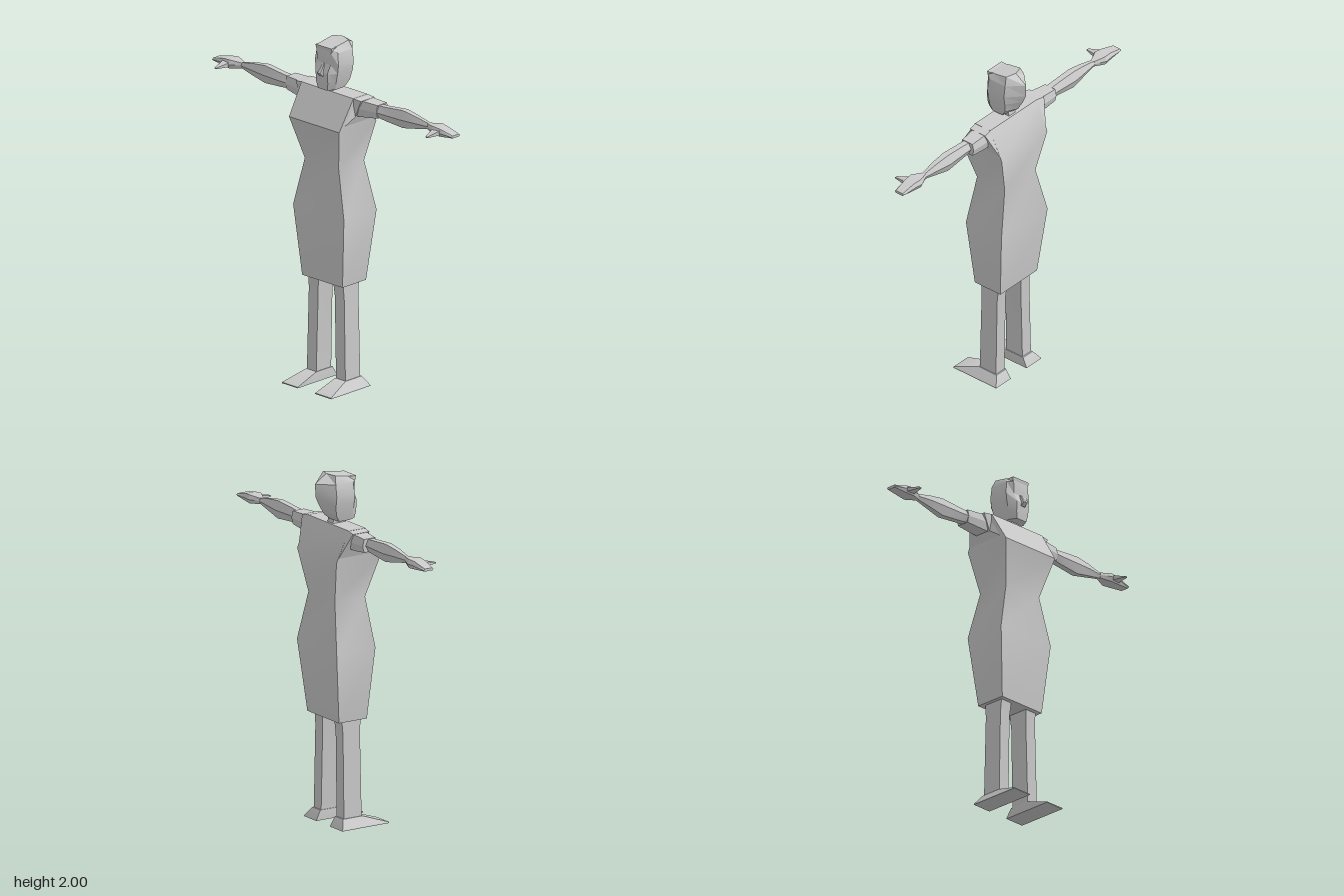
import * as THREE from 'three';
import { toCreasedNormals } from 'three/addons/utils/BufferGeometryUtils.js';

const material = new THREE.MeshStandardMaterial({ color: 0xcccccc });

// Closed skin over a list of equal-length rings of [x, y, z], always facing outwards.
function loft(name, rings, crease = 0.35) {
  const n = rings[0].length, tris = [];
  rings.slice(1).forEach((top, r) => {
    const low = rings[r];
    for (let i = 0; i < n; i++) {
      const j = (i + 1) % n;
      tris.push([low[i], low[j], top[j]], [low[i], top[j], top[i]]);
    }
  });
  const cap = (ring, flip) => {
    const mid = [0, 1, 2].map(k => ring.reduce((s, p) => s + p[k], 0) / n);
    ring.forEach((p, i) => {
      const q = ring[(i + 1) % n];
      tris.push(flip ? [mid, q, p] : [mid, p, q]);
    });
  };
  cap(rings[0], true);
  cap(rings[rings.length - 1], false);
  // signed volume decides the winding
  const v = p => new THREE.Vector3(...p);
  const volume = tris.reduce((s, [a, b, c]) => s + v(a).dot(v(b).cross(v(c))), 0);
  if (volume < 0) tris.forEach(t => t.reverse());
  const geometry = new THREE.BufferGeometry();
  geometry.setAttribute('position', new THREE.Float32BufferAttribute(tris.flat(2), 3));
  const mesh = new THREE.Mesh(toCreasedNormals(geometry, crease), material);
  mesh.name = name;
  return mesh;
}

// Level rectangle, and upright six-sided section across the arm.
const rect = (y, x0, x1, z0, z1) => [[x0, y, z1], [x1, y, z1], [x1, y, z0], [x0, y, z0]];
function section(s, [x, y0, y1, z0, z1], inset = 0.25) {
  const m = (y0 + y1) / 2, d = (z1 - z0) * inset;
  return [[y1, z0 + d], [y1, z1 - d], [m, z1], [y0, z1 - d], [y0, z0 + d], [m, z0]]
    .map(([y, z]) => [s * x, y, z]);
}

export function createModel() {
  const model = new THREE.Group();
  model.name = 'dressedFigure';

  // Dress: half width, back and front at each height
  model.add(loft('dress', [
    [0.61, 0.155, -0.13, 0.055], [1.02, 0.195, -0.172, 0.085], [1.3, 0.13, -0.14, 0.06],
    [1.54, 0.193, -0.172, 0.12], [1.715, 0.2, -0.095, 0.015],
  ].map(([y, w, b, f]) => rect(y, -w, w, b, f)), 0.62));

  // Neck
  model.add(loft('neck', [rect(1.7, -0.028, 0.028, -0.085, 0), rect(1.76, -0.025, 0.025, -0.075, 0.0)]));

  // Head: half width, back ridge, rear side, front side, face half width, face front
  model.add(loft('head', [
    [1.73, 0.058, -0.075, -0.06, 0.01, 0.035, 0.053],
    [1.77, 0.07, -0.125, -0.09, 0.02, 0.045, 0.058],
    [1.83, 0.083, -0.16, -0.1, 0.02, 0.045, 0.062],
    [1.88, 0.09, -0.182, -0.1, 0.02, 0.05, 0.042],
    [1.95, 0.08, -0.183, -0.1, 0.015, 0.055, 0.045],
    [2.0, 0.06, -0.11, -0.09, -0.01, 0.05, 0.04],
  ].map(([y, w, b, s, t, fw, f], i) => [
    [0, b], [w, s], [w, t], [fw, f], [-fw, f], [-w, t], [-w, s],
  ].map(([x, z]) => [x, i === 5 ? 1.982 - z * 0.164 : y, z]))));

  // Nose and fringe
  model.add(loft('nose', [
    rect(1.81, -0.015, 0.015, 0.04, 0.064), rect(1.83, -0.012, 0.012, 0.04, 0.082),
    rect(1.88, -0.006, 0.006, 0.03, 0.047),
  ]));
  model.add(loft('fringe', [
    rect(1.955, -0.06, 0.06, 0, 0.043), rect(1.978, -0.06, 0.06, 0, 0.047),
  ]));

  for (const s of [1, -1]) {
    const side = s > 0 ? 'left' : 'right';
    const flip = ring => ring.map(([x, y, z]) => [s * x, y, z]);

    // Shoulder, widening from the dress to the sleeve
    model.add(loft(side + 'Shoulder', [
      [[0.19, 1.715, 0.015], [0.185, 1.54, 0.118], [0.185, 1.54, -0.17], [0.19, 1.715, -0.095]],
      [[0.25, 1.708, 0.008], [0.21, 1.61, 0.01], [0.21, 1.61, -0.095], [0.25, 1.708, -0.1]],
    ].map(flip)));

    // Sleeve
    model.add(loft(side + 'Sleeve', [
      [0.2, 1.61, 1.71, -0.1, 0.01], [0.26, 1.615, 1.705, -0.104, 0.002], [0.35, 1.626, 1.702, -0.104, -0.012],
    ].map(a => section(s, a, 0.1))));

    // Arm and hand: x, bottom, top, back, front
    model.add(loft(side + 'Arm', [
      [0.33, 1.63, 1.697, -0.085, -0.012], [0.4, 1.622, 1.702, -0.084, -0.015],
      [0.53, 1.612, 1.714, -0.092, -0.018], [0.62, 1.63, 1.702, -0.083, -0.024],
      [0.72, 1.65, 1.682, -0.07, -0.038],
    ].map(a => section(s, a))));
    model.add(loft(side + 'Hand', [
      [0.715, 1.65, 1.682, -0.07, -0.038], [0.78, 1.64, 1.69, -0.1, -0.003],
      [0.83, 1.642, 1.686, -0.093, -0.008], [0.92, 1.65, 1.665, -0.085, -0.02],
    ].map(a => section(s, a, 0.12))));

    // Thumb, pointing forwards
    model.add(loft(side + 'Thumb', [
      [-0.025, 0.78, 0.84, 1.65, 1.678], [0.0, 0.783, 0.83, 1.65, 1.672], [0.065, 0.803, 0.817, 1.65, 1.657],
    ].map(([z, x0, x1, y0, y1]) => flip([[x0, y0, z], [x1, y0, z], [x1, y1, z], [x0, y1, z]]))));

    // Leg and foot
    model.add(loft(side + 'Leg', [
      rect(0.05, 0.076, 0.148, -0.092, 0.025), rect(0.53, 0.064, 0.136, -0.09, 0.022),
      rect(0.64, 0.055, 0.132, -0.098, 0.03),
    ].map(flip)));
    model.add(loft(side + 'Foot', [
      rect(0, 0.067, 0.19, -0.13, 0.18), rect(0.006, 0.067, 0.189, -0.128, 0.18),
      rect(0.056, 0.072, 0.152, -0.1, 0.03),
    ].map(flip)));
  }
  return model;
}
